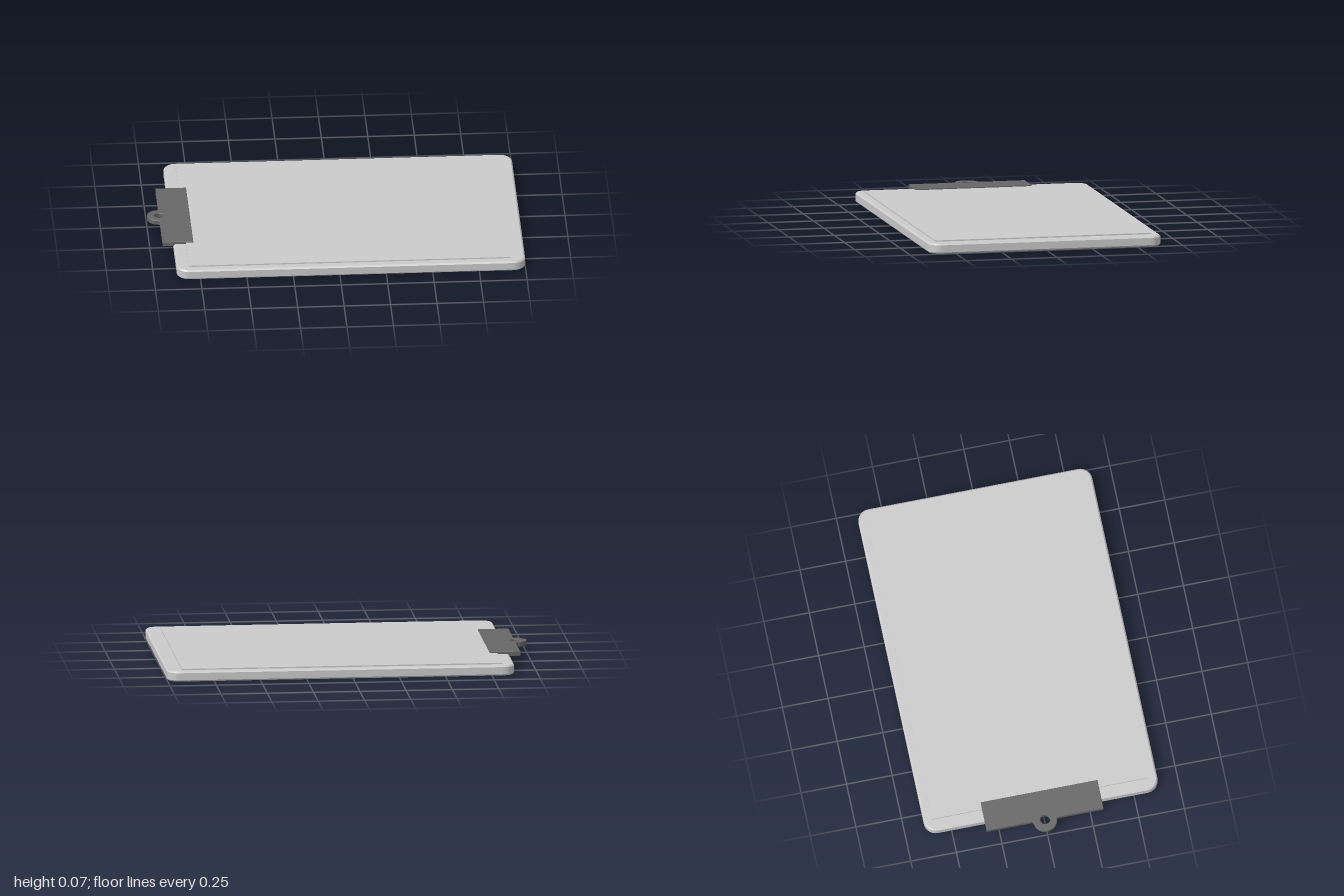
import * as THREE from 'three';

const grey = new THREE.MeshStandardMaterial({ color: 0xcccccc, flatShading: true });
const dark = new THREE.MeshStandardMaterial({ color: 0x666666, flatShading: true });

// Rounded rectangle outline
function roundedRect(x0, x1, halfZ, r) {
  const s = new THREE.Shape();
  s.absarc(x1 - r, halfZ - r, r, 0, Math.PI / 2);
  s.absarc(x0 + r, halfZ - r, r, Math.PI / 2, Math.PI);
  s.absarc(x0 + r, r - halfZ, r, Math.PI, Math.PI * 1.5);
  s.absarc(x1 - r, r - halfZ, r, Math.PI * 1.5, Math.PI * 2);
  return s;
}

// Lay a plan outline flat between two heights, with its edges chamfered inwards
function slab(name, shape, y0, y1, bevel, curveSegments, material) {
  const geo = new THREE.ExtrudeGeometry(shape, {
    depth: y1 - y0 - 2 * bevel,
    bevelEnabled: bevel > 0,
    bevelThickness: bevel,
    bevelSize: bevel,
    bevelOffset: -bevel,
    bevelSegments: 1,
    curveSegments,
  });
  geo.rotateX(-Math.PI / 2);
  geo.translate(0, y0 + bevel, 0);
  const mesh = new THREE.Mesh(geo, material);
  mesh.name = name;
  return mesh;
}

// Clip plate with a round hanging tab on its outer edge
function clipShape() {
  const outer = -0.935, inner = -0.77, halfZ = 0.32, tabX = -0.935, tabR = 0.065;
  const s = new THREE.Shape();
  s.moveTo(inner, -halfZ);
  s.lineTo(inner, halfZ);
  s.lineTo(outer, halfZ);
  s.lineTo(outer, 0.07);
  s.lineTo(outer - 0.012, 0.062);
  s.absarc(tabX, 0, tabR, Math.PI * 0.62, Math.PI * 1.38);
  s.lineTo(outer - 0.012, -0.062);
  s.lineTo(outer, -0.07);
  s.lineTo(outer, -halfZ);
  s.closePath();
  const hole = new THREE.Path();
  hole.absarc(tabX, 0, 0.026, 0, Math.PI * 2, true);
  s.holes.push(hole);
  return s;
}

export function createModel() {
  const group = new THREE.Group();
  group.name = 'clipboard';

  // Backing board with rounded corners
  group.add(slab('board', roundedRect(-0.875, 1, 0.64, 0.065), 0, 0.055, 0.008, 4, grey));

  // Sheets resting on the board
  const paper = new THREE.Mesh(new THREE.BoxGeometry(1.73, 0.01, 1.19), grey);
  paper.name = 'paper';
  paper.position.set(0.055, 0.057, 0);
  group.add(paper);

  // Clip holding the sheets
  group.add(slab('clip', clipShape(), 0.043, 0.069, 0.002, 12, dark));

  return group;
}
